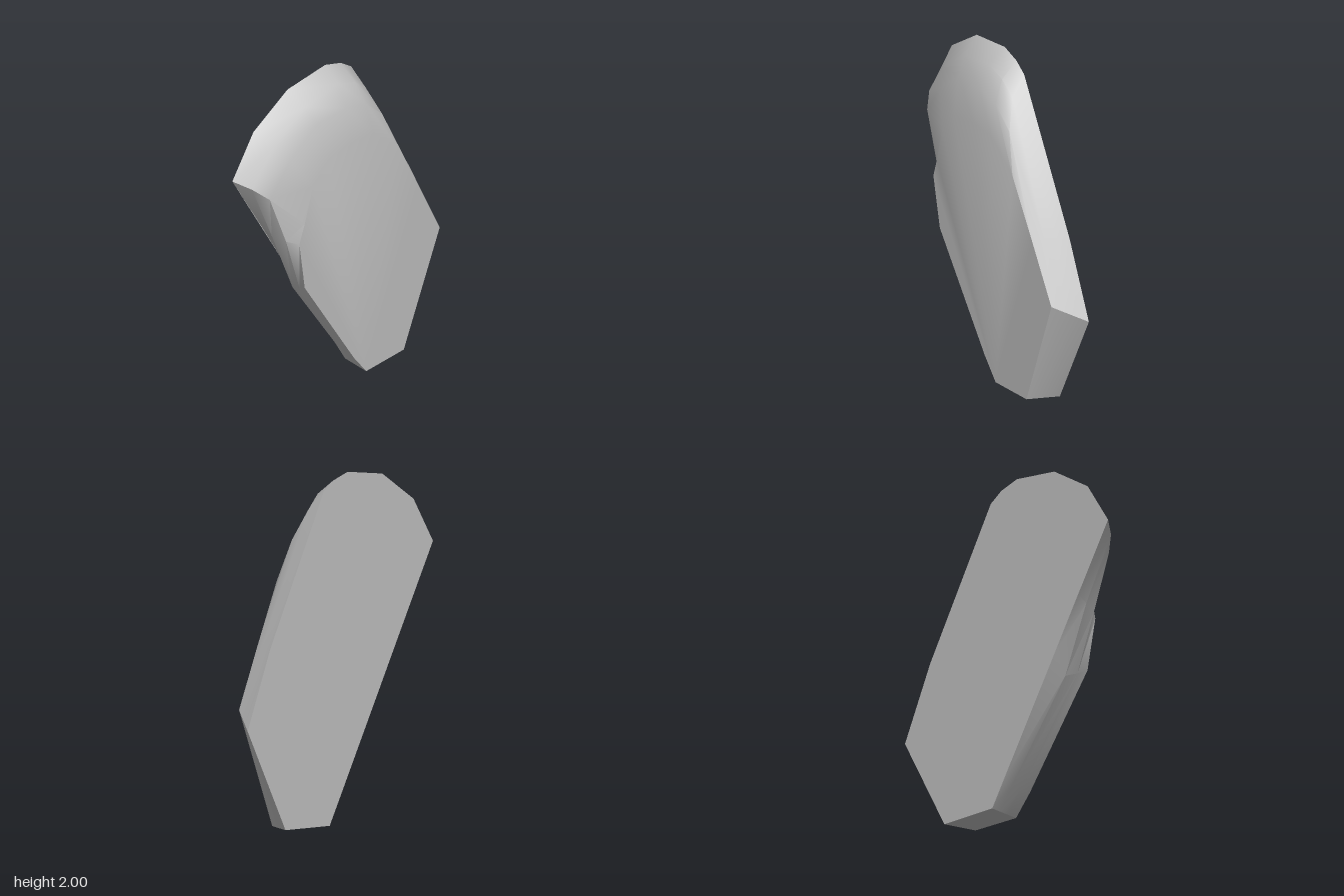
import * as THREE from 'three';
import { toCreasedNormals } from 'three/addons/utils/BufferGeometryUtils.js';

// Flat back and front planes of the slab, x as a function of z and y
const backX = (z, y) => -0.116 + 0.052 * z + 0.01 * y;
const frontX = (z, y) => 0.0745 + 0.095 * z + 0.027 * y;

// Each spoke: back rim [z, y], front rim [z, y], optional rim bevel points [x, y, z]
const spokes = [
  { b: [-0.1, 0], f: [-0.1, 0] },
  { b: [-0.02, 0.138], f: [0, 0.13] },
  { b: [0.375, 0.82], f: [0.41, 0.77], m: [-0.01, 0.7, 0.38], n: [0.07, 0.735, 0.395] },
  { b: [0.55, 1.13], f: [0.46, 1.08], m: [0, 1.1, 0.54], n: [0.09, 1.09, 0.51] },
  { b: [0.78, 1.52], f: [0.42, 1.2], m: [0.03, 1.48, 0.71], n: [0.09, 1.41, 0.63] },
  { b: [0.62, 1.78], f: [0.36, 1.42], m: [0.03, 1.7, 0.55], n: [0.09, 1.61, 0.48] },
  { b: [0.36, 1.955], f: [0.24, 1.55], m: [0.025, 1.87, 0.32], n: [0.085, 1.77, 0.28] },
  { b: [0.07, 2], f: [0.05, 1.58], m: [0.015, 1.92, 0.06], n: [0.08, 1.79, 0.06] },
  { b: [-0.05, 1.965], f: [-0.12, 1.57], m: [0.005, 1.88, -0.07], n: [0.065, 1.75, -0.1] },
  { b: [-0.13, 1.91], f: [-0.32, 1.4], m: [-0.01, 1.8, -0.16], n: [0.05, 1.63, -0.23] },
  { b: [-0.59, 1.06], f: [-0.5, 1.05] },
  { b: [-0.78, 0.62], f: [-0.67, 0.71] },
  { b: [-0.47, 0.02], f: [-0.4, 0.015] },
];

function slabGeometry() {
  const positions = [];
  const index = [];
  for (const { b, f, m, n } of spokes) {
    const back = new THREE.Vector3(backX(...b), b[1], b[0]);
    const front = new THREE.Vector3(frontX(...f), f[1], f[0]);
    const mid = m ? new THREE.Vector3(...m) : back.clone().lerp(front, 1 / 3);
    const near = n ? new THREE.Vector3(...n) : back.clone().lerp(front, 2 / 3);
    for (const p of [back, mid, near, front]) positions.push(p.x, p.y, p.z);
  }
  const count = spokes.length;
  const at = (i, ring) => (i % count) * 4 + ring;
  // Bevelled rim between the two faces
  for (let i = 0; i < count; i++) {
    for (let r = 0; r < 3; r++) {
      const a = at(i, r), b = at(i, r + 1), c = at(i + 1, r + 1), d = at(i + 1, r);
      index.push(a, b, c, a, c, d);
    }
  }
  // Flat back and front faces
  for (let i = 1; i < count - 1; i++) {
    index.push(at(0, 0), at(i, 0), at(i + 1, 0));
    index.push(at(0, 3), at(i + 1, 3), at(i, 3));
  }
  const geometry = new THREE.BufferGeometry();
  geometry.setAttribute('position', new THREE.Float32BufferAttribute(positions, 3));
  geometry.setIndex(index);
  return toCreasedNormals(geometry, THREE.MathUtils.degToRad(38));
}

export function createModel() {
  const stone = new THREE.MeshStandardMaterial({ color: 0xc0c0c0 });
  stone.name = 'stone grey';
  const slab = new THREE.Mesh(slabGeometry(), stone);
  slab.name = 'stoneSlab';
  const group = new THREE.Group();
  group.name = 'slabModel';
  group.add(slab);
  return group;
}
